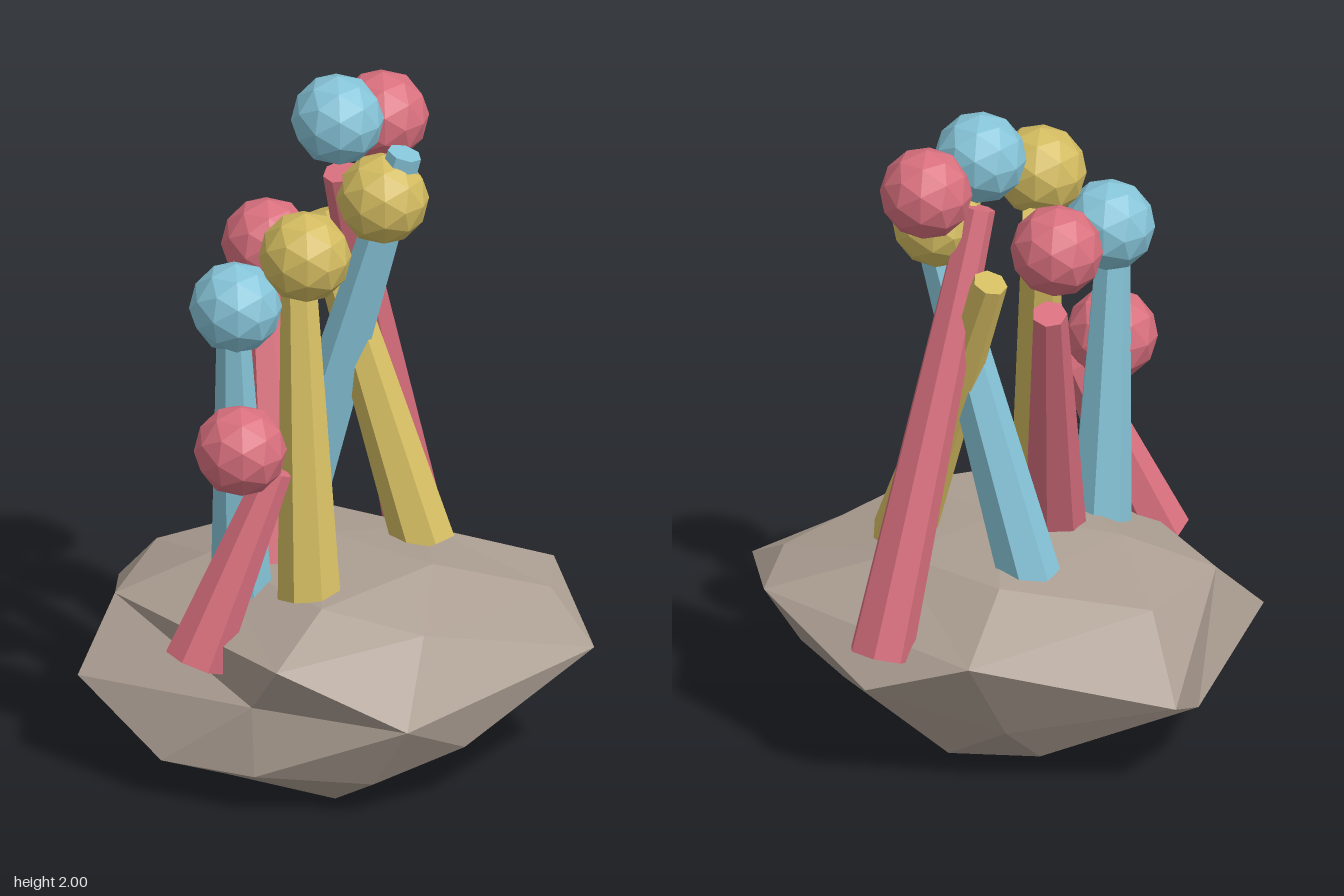
import * as THREE from 'three';
import { ConvexGeometry } from 'three/addons/geometries/ConvexGeometry.js';

const V = (a) => new THREE.Vector3(...a);

// Faceted normals without sharing vertices
function faceted(geo) {
  const g = geo.index ? geo.toNonIndexed() : geo;
  g.computeVertexNormals();
  return g;
}

function material(name, color) {
  const m = new THREE.MeshStandardMaterial({ color });
  m.name = name;
  return m;
}

// Boulder corners: top, shoulder, waist and underside
const ROCK = [
  // top
  [0, 0.63, 0], [0.37, 0.62, 0.04], [0.21, 0.59, 0.43], [-0.295, 0.58, 0.2], [-0.245, 0.57, -0.31], [0.15, 0.57, -0.3],
  // shoulder
  [-0.58, 0.49, -0.01], [-0.51, 0.475, 0.375], [0.2, 0.48, 0.69], [0.48, 0.51, 0.3],
  [0.585, 0.47, -0.285], [0.46, 0.45, -0.535], [-0.33, 0.42, -0.56],
  // waist
  [-0.785, 0.28, -0.155], [-0.52, 0.29, 0.585], [0.08, 0.32, 0.62], [0.55, 0.3, 0.53],
  [0.785, 0.355, -0.185], [-0.03, 0.31, -0.67],
  // underside
  [-0.665, 0.165, 0.1], [-0.19, 0.12, 0.68], [0.11, 0.12, 0.66], [0.42, 0.1, 0.5], [0.6, 0.17, 0.27],
  [0.55, 0.16, -0.25], [0.25, 0.185, -0.42], [-0.35, 0.17, -0.41],
  [-0.42, 0.04, 0.2], [-0.35, 0.04, -0.25], [-0.07, 0, -0.33], [0.29, 0, -0.1], [0.26, 0, 0.44], [-0.1, 0.005, 0.44],
];

// Connect the corners as a hull around the centre, then restore their depth,
// which keeps the notches in the stone.
function rockGeometry() {
  const corners = ROCK.map(V);
  const dirs = corners.map((p) =>
    new THREE.Vector3(p.x / 0.75, (p.y - 0.3) / 0.32, p.z / 0.68).normalize());
  const geo = new ConvexGeometry(dirs);
  const pos = geo.attributes.position;
  const q = new THREE.Vector3();
  for (let i = 0; i < pos.count; i++) {
    q.fromBufferAttribute(pos, i);
    let best = 0;
    dirs.forEach((d, k) => {
      if (d.distanceToSquared(q) < dirs[best].distanceToSquared(q)) best = k;
    });
    pos.setXYZ(i, ...corners[best].toArray());
  }
  return faceted(geo);
}

// Tapered seven-sided stalk between two points
function stalk(base, tip, mat) {
  const a = V(base), b = V(tip);
  const axis = b.clone().sub(a);
  const mesh = new THREE.Mesh(faceted(new THREE.CylinderGeometry(0.052, 0.095, axis.length(), 7)), mat);
  mesh.position.copy(a).add(b).multiplyScalar(0.5);
  mesh.quaternion.setFromUnitVectors(new THREE.Vector3(0, 1, 0), axis.normalize());
  mesh.name = 'stalk';
  return mesh;
}

export function createModel() {
  const model = new THREE.Group();
  model.name = 'coralRock';
  const stone = material('stone', 0xab9d91);
  const pink = material('coralPink', 0xd9707e);
  const blue = material('paleBlue', 0x86c4d8);
  const yellow = material('mustardYellow', 0xd2bb60);

  const rock = new THREE.Mesh(rockGeometry(), stone);
  rock.name = 'rock';
  model.add(rock);

  // Each coral: colour, stalk base, stalk tip, bulb centre
  const corals = [
    ['frontLowCoral', pink, [-0.13, 0.41, 0.58], [0.03, 0.98, 0.385], [-0.04, 1.06, 0.47]],
    ['frontYellowCoral', yellow, [0.115, 0.57, 0.33], [-0.015, 1.54, 0.16], [0.067, 1.625, 0.27]],
    ['frontBlueCoral', blue, [-0.115, 0.5, 0.32], [-0.1, 1.38, 0.4], [-0.11, 1.465, 0.37]],
    ['middlePinkCoral', pink, [-0.09, 0.56, 0.14], [-0.318, 1.425, -0.165], [-0.19, 1.525, 0.027]],
    ['rearYellowCoral', yellow, [0.22, 0.57, -0.185], [-0.175, 1.52, -0.265], [0.065, 1.63, -0.21]],
    ['rearBlueCoral', blue, [-0.22, 0.54, -0.14], [0.124, 1.775, -0.237], [-0.07, 1.865, -0.182]],
    ['rearPinkCoral', pink, [-0.03, 0.4, -0.6], [-0.06, 1.7, -0.18], [-0.03, 1.81, -0.385]],
  ];
  const bulbGeo = faceted(new THREE.IcosahedronGeometry(0.137, 1));
  for (const [name, mat, base, tip, centre] of corals) {
    const coral = new THREE.Group();
    coral.name = name;
    const bulb = new THREE.Mesh(bulbGeo, mat);
    bulb.name = 'bulb';
    bulb.position.copy(V(centre));
    coral.add(stalk(base, tip, mat), bulb);
    model.add(coral);
  }
  return model;
}
